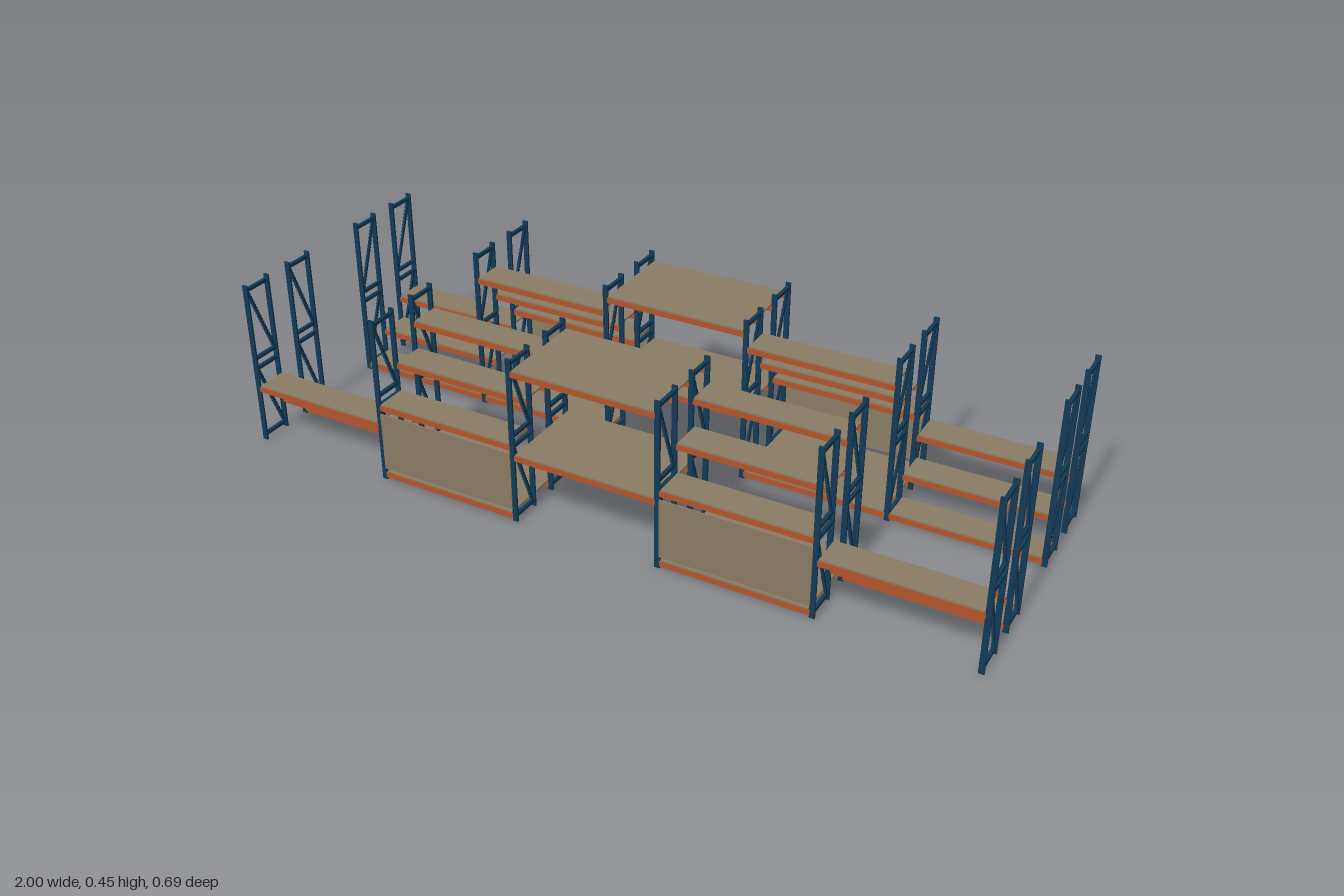
import * as THREE from 'three';
import { mergeGeometries } from 'three/addons/utils/BufferGeometryUtils.js';

const STEEL = new THREE.MeshStandardMaterial({ color: 0x123a56 });
const BEAM = new THREE.MeshStandardMaterial({ color: 0xb4552c });
const BOARD = new THREE.MeshStandardMaterial({ color: 0x8a7c64 });

const POSTS_Z = [0.103, 0.181, 0.262, 0.342];
const PITCH = 0.397;
const HEIGHT = 0.452;

function box(w, h, d, x, y, z) {
  return new THREE.BoxGeometry(w, h, d).translate(x, y, z);
}

function mesh(name, parts, material) {
  const m = new THREE.Mesh(mergeGeometries(parts), material);
  m.name = name;
  return m;
}

// Upright frame: two posts, four rungs and two stepped diagonal braces
function frameGeometry(z0, z1) {
  const parts = [z0, z1].map(z => box(0.014, HEIGHT, 0.005, 0, HEIGHT / 2, z));
  const mid = (z0 + z1) / 2;
  for (const y of [0.016, 0.213, 0.242, 0.438]) {
    parts.push(box(0.009, 0.009, z1 - z0, 0, y, mid));
  }
  const steps = 20;
  for (const [y0, y1] of [[0.02, 0.211], [0.244, 0.436]]) {
    const rise = (y1 - y0) / steps;
    for (let i = 0; i < steps; i++) {
      const t = (i + 0.5) / steps;
      const z = THREE.MathUtils.lerp(z0 + 0.005, z1 - 0.004, t);
      parts.push(box(0.006, rise * 1.3, 0.007, 0, y0 + t * (y1 - y0), z));
    }
  }
  return mergeGeometries(parts);
}

// Shelf: a thin board over a long beam at each line of posts from a to b
function addShelf(rack, bay, top, a, b) {
  const x = bay * PITCH;
  const z0 = POSTS_Z[a], z1 = POSTS_Z[b];
  const shelf = new THREE.Group();
  shelf.name = 'shelf';
  shelf.add(mesh('shelfBoard', [box(0.38, 0.004, z1 - z0 + 0.004, x, top - 0.002, (z0 + z1) / 2)], BOARD));
  const beams = [];
  for (let i = a; i <= b; i++) {
    beams.push(box(0.386, 0.015, 0.006, x, top - 0.0115, POSTS_Z[i]));
  }
  shelf.add(mesh('shelfBeams', beams, BEAM));
  rack.add(shelf);
}

function createRack() {
  const rack = new THREE.Group();
  rack.name = 'rack';

  // Six pairs of upright frames
  for (let i = 0; i < 6; i++) {
    const x = (i - 2.5) * PITCH;
    for (const a of [0, 2]) {
      const frame = frameGeometry(POSTS_Z[a], POSTS_Z[a + 1]).translate(x, 0, 0);
      rack.add(mesh('uprightFrame', [frame], STEEL));
    }
  }

  // Centre bay: two full-depth decks
  for (const y of [0.194, 0.424]) addShelf(rack, 0, y, 0, 3);

  for (const s of [-1, 1]) {
    // Inner bays: full floor deck, three tiers rising to the aisle, closed outer face
    addShelf(rack, s, 0.025, 0, 3);
    [0.383, 0.303, 0.221].forEach((y, i) => addShelf(rack, s, y, i, i + 1));
    rack.add(mesh('panel', [box(0.386, 0.16, 0.003, s * PITCH, 0.114, 0.3455)], BOARD));

    // End bays: three tiers falling to the aisle
    [0.025, 0.095, 0.165].forEach((y, i) => addShelf(rack, 2 * s, y, i, i + 1));
  }
  return rack;
}

export function createModel() {
  const model = new THREE.Group();
  model.name = 'storageRacks';
  // The racks mirror each other across the aisle
  const front = createRack();
  front.name = 'frontRack';
  const back = createRack();
  back.name = 'backRack';
  back.rotation.y = Math.PI;
  model.add(front, back);
  return model;
}
